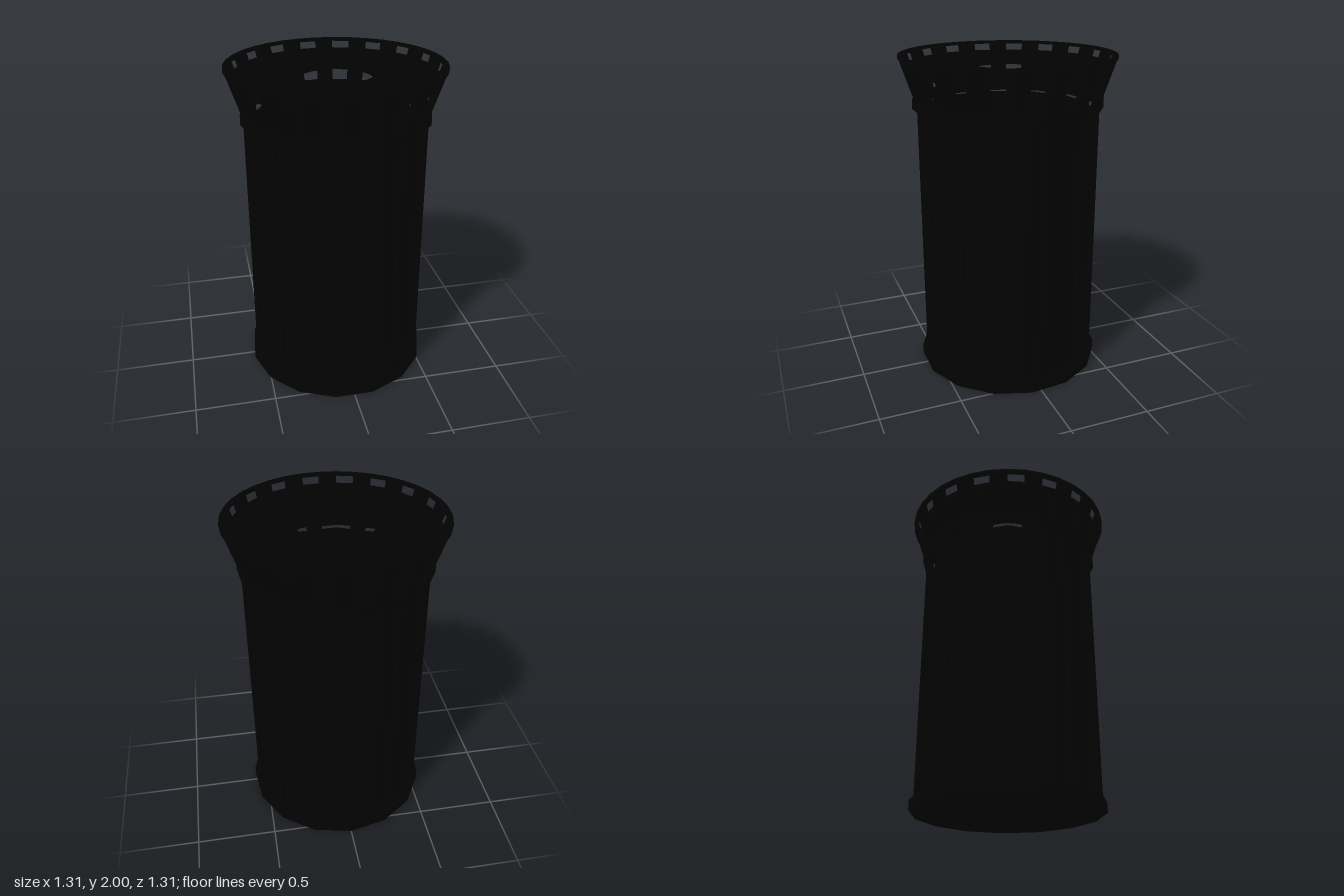
import * as THREE from 'three';

const DEG = Math.PI / 180;
const paint = new THREE.MeshStandardMaterial({ color: 0x020202, flatShading: true });
const sheet = paint.clone();
sheet.side = THREE.DoubleSide;

// Ring of rectangular section, revolved around y
function ring(name, inner, outer, y0, y1, sides, start = 0) {
  const profile = [[inner, y0], [outer, y0], [outer, y1], [inner, y1], [inner, y0]]
    .map(([r, y]) => new THREE.Vector2(r, y));
  const mesh = new THREE.Mesh(new THREE.LatheGeometry(profile, sides, start), paint);
  mesh.name = name;
  return mesh;
}

// Flat slat, 10 degrees wide, running from radius r0 at y0 to radius r1 at y1
function slat(name, angle, r0, r1, y0, y1, thickness) {
  const geometry = new THREE.BoxGeometry(1, 1, 1);
  const p = geometry.attributes.position;
  for (let i = 0; i < p.count; i++) {
    const a = (angle - p.getX(i) * 10) * DEG;
    const t = p.getY(i) + 0.5;
    const r = THREE.MathUtils.lerp(r0, r1, t) - (0.5 - p.getZ(i)) * thickness;
    p.setXYZ(i, r * Math.cos(a), THREE.MathUtils.lerp(y0, y1, t), r * Math.sin(a));
  }
  geometry.computeVertexNormals();
  const mesh = new THREE.Mesh(geometry, paint);
  mesh.name = name;
  return mesh;
}

export function createModel() {
  const bin = new THREE.Group();
  bin.name = 'litterBin';

  // Solid base and thin upper band, both fifteen-sided
  bin.add(ring('base', 0, 0.582, 0, 0.06, 15, Math.PI));
  bin.add(ring('upperBand', 0.55, 0.582, 1.68, 1.74, 15, Math.PI));

  // Open twelve-sided inner liner, its corners midway between the slats
  const liner = new THREE.Mesh(
    new THREE.CylinderGeometry(0.512, 0.512, 1.63, 12, 1, true, 20 * DEG), sheet);
  liner.position.y = 0.05 + 1.63 / 2;
  liner.name = 'liner';
  bin.add(liner);

  // Upright slats around the body
  const bodySlats = new THREE.Group();
  bodySlats.name = 'bodySlats';
  for (let i = 0; i < 12; i++) {
    bodySlats.add(slat('bodySlat', 25 + i * 30, 0.557, 0.557, 0.03, 1.73, 0.035));
  }
  bin.add(bodySlats);

  // Flared slats of the collar
  const collarSlats = new THREE.Group();
  collarSlats.name = 'collarSlats';
  for (let i = 0; i < 18; i++) {
    collarSlats.add(slat('collarSlat', 15 + i * 20, 0.565, 0.656, 1.72, 1.997, 0.028));
  }
  bin.add(collarSlats);

  // Top rim and lid with a round opening
  bin.add(ring('rim', 0.627, 0.657, 1.982, 2, 36));
  bin.add(ring('lid', 0.23, 0.61, 1.9, 1.943, 36));

  return bin;
}
